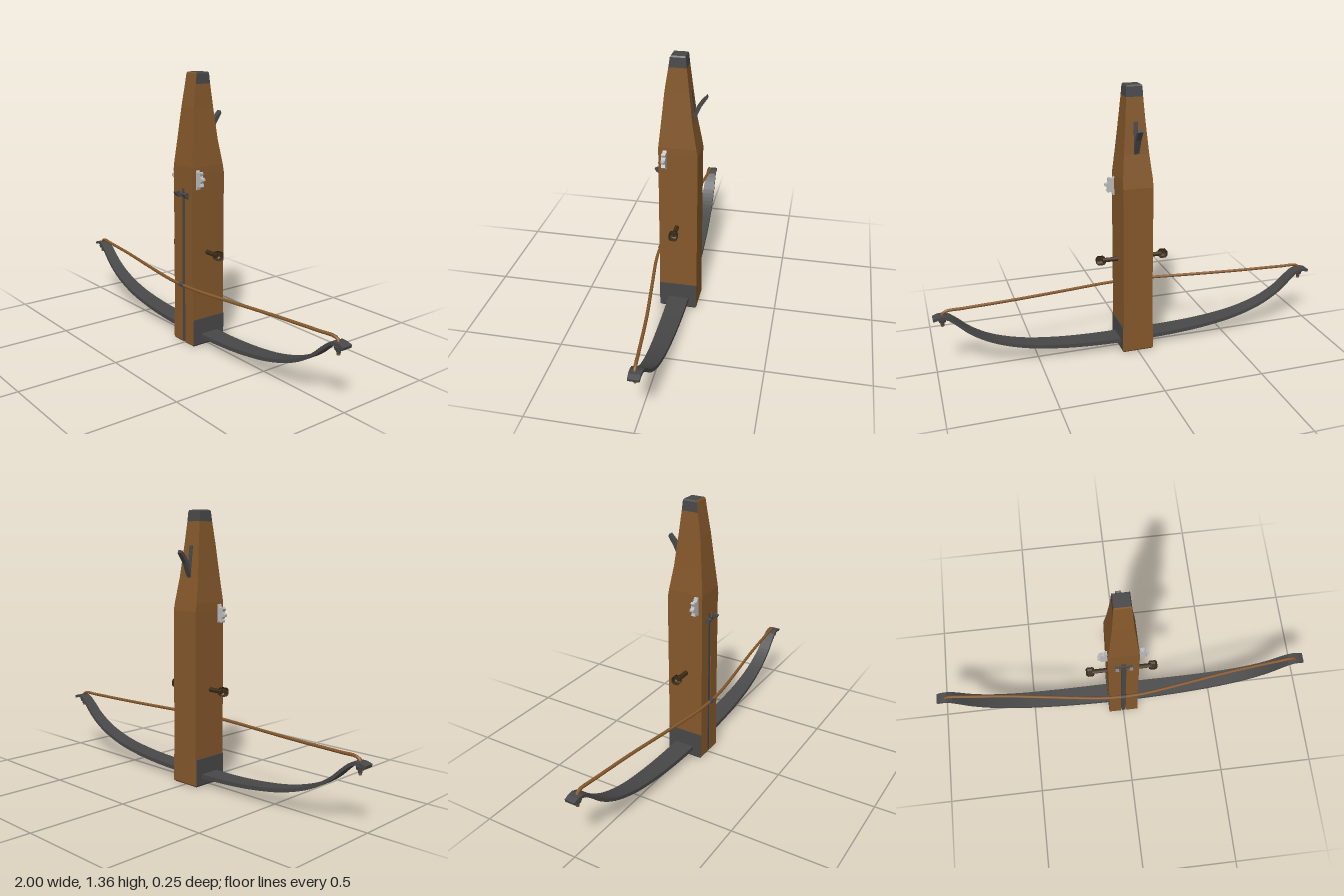
import * as THREE from 'three';

const material = (name, color, side = THREE.FrontSide) => {
  const m = new THREE.MeshStandardMaterial({ color, side });
  m.name = name;
  return m;
};

// Loft through rings of points with flat faces; pick(row, side) returns a material index.
function loft(rings, caps, pick = () => 0) {
  const byMaterial = [[], []];
  const quad = (a, b, c, d, m) => byMaterial[m].push(...a, ...b, ...c, ...a, ...c, ...d);
  const n = rings[0].length, last = rings.length - 1;
  for (let r = 0; r < last; r++) {
    for (let i = 0; i < n; i++) {
      const j = (i + 1) % n;
      quad(rings[r][i], rings[r + 1][i], rings[r + 1][j], rings[r][j], pick(r, i));
    }
  }
  for (const [a, b, c, d] of caps) {
    const s = rings[0], e = rings[last];
    quad(s[a], s[b], s[c], s[d], pick('cap', 0));
    quad(e[d], e[c], e[b], e[a], pick('cap', 1));
  }
  const g = new THREE.BufferGeometry();
  g.setAttribute('position', new THREE.Float32BufferAttribute(byMaterial.flat(), 3));
  g.addGroup(0, byMaterial[0].length / 3, 0);
  g.addGroup(byMaterial[0].length / 3, byMaterial[1].length / 3, 1);
  g.computeVertexNormals();
  return g;
}

// Side outline given as (z, y), extruded across x and centred.
function sideProfile(points, width) {
  const shape = new THREE.Shape(points.map(([z, y]) => new THREE.Vector2(z, y)));
  const g = new THREE.ExtrudeGeometry(shape, { depth: width, bevelEnabled: false });
  return g.translate(0, 0, -width / 2).rotateY(-Math.PI / 2);
}

export function createModel() {
  const wood = material('wood', 0x85582b);
  const metal = material('dark metal', 0x484848);
  const darkWood = material('dark wood', 0x3d2c18);
  const steel = material('pale steel', 0xbcbcbc);
  const group = new THREE.Group();
  const add = (name, geometry, mat, x = 0, y = 0, z = 0) => {
    const mesh = new THREE.Mesh(geometry, mat);
    mesh.name = name;
    mesh.position.set(x, y, z);
    group.add(mesh);
    return mesh;
  };

  // Stock: [height, half width, back z, front z, groove depth]
  const sections = [
    [0, 0.074, -0.09, 0.088, 0.012], [0.008, 0.08, -0.097, 0.095, 0.012],
    [0.14, 0.08, -0.097, 0.095, 0.012], [0.14, 0.076, -0.097, 0.095, 0.012],
    [0.8, 0.076, -0.097, 0.095, 0.012], [0.8, 0.076, -0.097, 0.095, 0],
    [0.87, 0.076, -0.097, 0.095, 0], [0.91, 0.075, -0.09, 0.095, 0],
    [1.03, 0.063, -0.068, 0.083, 0], [1.19, 0.049, -0.049, 0.067, 0],
    [1.3, 0.042, -0.036, 0.05, 0], [1.348, 0.04, -0.031, 0.043, 0],
    [1.355, 0.036, -0.027, 0.039, 0],
  ];
  const grooveHalf = 0.013;
  const stockRings = sections.map(([y, h, b, f, d]) => [
    [-h, y, b], [h, y, b], [h, y, f], [grooveHalf, y, f],
    [grooveHalf, y, f - d], [-grooveHalf, y, f - d], [-grooveHalf, y, f], [-h, y, f],
  ]);
  const stockColour = (row, side) => {
    if (row === 'cap') return 1;
    const flank = side === 1 || side === 7;
    if (row < 3) return flank || side === 4 ? 1 : 0;
    if (row >= 10) return flank || side === 0 ? 1 : 0;
    return side === 4 && row < 4 ? 1 : 0;
  };
  add('stock', loft(stockRings, [[0, 1, 4, 5], [1, 2, 3, 4], [0, 5, 6, 7]], stockColour), [wood, metal]);

  // Bolt rail in the groove
  add('boltRail', new THREE.BoxGeometry(0.018, 0.79, 0.012), metal, 0, 0.403, 0.088);

  // Bow: a flat bar swept along a recurved line, narrowing to the tips
  const half = [[0.08, 0.05], [0.22, 0.053], [0.4, 0.066], [0.58, 0.095], [0.73, 0.145],
    [0.83, 0.205], [0.89, 0.26], [0.93, 0.291], [0.962, 0.298], [0.998, 0.288]];
  const line = [...half.map(([x, y]) => [-x, y]).reverse(), [0, 0.049], ...half];
  const bowCurve = new THREE.CatmullRomCurve3(line.map(([x, y]) => new THREE.Vector3(x, y, 0)));
  const bowRings = [];
  for (let i = 0; i <= 80; i++) {
    const p = bowCurve.getPointAt(i / 80), t = bowCurve.getTangentAt(i / 80);
    const a = Math.abs(p.x);
    const w = 0.052 - 0.026 * Math.pow(a, 1.7);
    const th = 0.011 - 0.004 * a;
    bowRings.push([[-1, 1], [1, 1], [1, -1], [-1, -1]].map(([u, v]) =>
      [p.x - t.y * u * th, p.y + t.x * u * th, -0.004 + v * w]));
  }
  add('bow', loft(bowRings, [[0, 1, 2, 3]]), [metal, metal]);

  // Bowstring over the front of the stock, its ends passing down through the tips
  const stringHalf = [[0.06, 0.311, 0.105], [0.14, 0.311, 0.099], [0.35, 0.312, 0.07],
    [0.6, 0.315, 0.035], [0.85, 0.318, 0.009], [0.935, 0.318, 0.001], [0.953, 0.305, 0], [0.955, 0.243, 0]];
  const stringPath = [...stringHalf.map(([x, y, z]) => [-x, y, z]).reverse(), ...stringHalf];
  const stringCurve = new THREE.CatmullRomCurve3(stringPath.map(p => new THREE.Vector3(...p)));
  add('bowstring', new THREE.TubeGeometry(stringCurve, 120, 0.008, 8), wood);
  add('stringServing', new THREE.CylinderGeometry(0.011, 0.011, 0.03, 8).rotateZ(Math.PI / 2), metal, 0, 0.311, 0.106);

  // Cog outline: eight blunt teeth
  const cog = new THREE.Shape();
  for (let i = 0; i < 32; i++) {
    const a = (i / 32) * Math.PI * 2, r = i % 4 < 2 ? 0.05 : 0.038;
    cog[i ? 'lineTo' : 'moveTo'](Math.cos(a) * r, Math.sin(a) * r);
  }
  const cogGeometry = new THREE.ExtrudeGeometry(cog, { depth: 0.02, bevelEnabled: false });

  // Paired parts on both sides
  for (const s of [-1, 1]) {
    const side = s > 0 ? 'left' : 'right';
    add(side + 'Cog', cogGeometry, steel, s * 0.073, 0.85, 0.054);
    add(side + 'Peg', new THREE.CylinderGeometry(0.012, 0.012, 0.09, 8).rotateZ(Math.PI / 2), darkWood, s * 0.11, 0.48, 0.005);
    // Faceted knob with chamfered ends
    const knob = [[0.142, 0.015], [0.15, 0.021], [0.178, 0.021], [0.186, 0.014]];
    const knobRings = knob.map(([x, r]) => Array.from({ length: 8 }, (_, i) => {
      const a = Math.PI / 2 * Math.floor(i / 2) + (i % 2 ? 1.05 : 0.52);
      return [x, -Math.sin(a) * r * 1.15, Math.cos(a) * r * 1.15];
    }));
    const knobMesh = add(side + 'PegKnob', loft(knobRings, [[0, 1, 2, 3], [0, 3, 4, 7], [4, 5, 6, 7]]),
      [darkWood, darkWood], 0, 0.48, 0.005);
    if (s < 0) knobMesh.rotation.y = Math.PI, knobMesh.position.z = 0.005;
    add(side + 'StringNut', new THREE.CylinderGeometry(0.021, 0.017, 0.016, 10), metal, s * 0.955, 0.274, 0);
    add(side + 'StringKnot', new THREE.CylinderGeometry(0.011, 0.009, 0.018, 8), metal, s * 0.955, 0.26, 0);
    // Catch prong that holds the drawn string
    add(side + 'Catch', sideProfile([[0.08, 0.748], [0.098, 0.752], [0.114, 0.764], [0.122, 0.778],
      [0.108, 0.783], [0.08, 0.782]], 0.018), metal, s * 0.034, 0, 0);
  }
  add('catchBridge', new THREE.BoxGeometry(0.07, 0.016, 0.012), metal, 0, 0.765, 0.094);

  // Trigger lever and its slot plate on the back
  add('trigger', sideProfile([[-0.125, 1.163], [-0.098, 1.135], [-0.075, 1.1], [-0.06, 1.055],
    [-0.045, 1.03], [-0.067, 1.03], [-0.08, 1.06], [-0.1, 1.105], [-0.13, 1.15]], 0.026), metal);
  const slot = add('triggerSlot', new THREE.BoxGeometry(0.022, 0.15, 0.006), metal, 0, 1.11, -0.0585);
  slot.rotation.x = Math.atan2(0.019, 0.16);

  return group;
}
